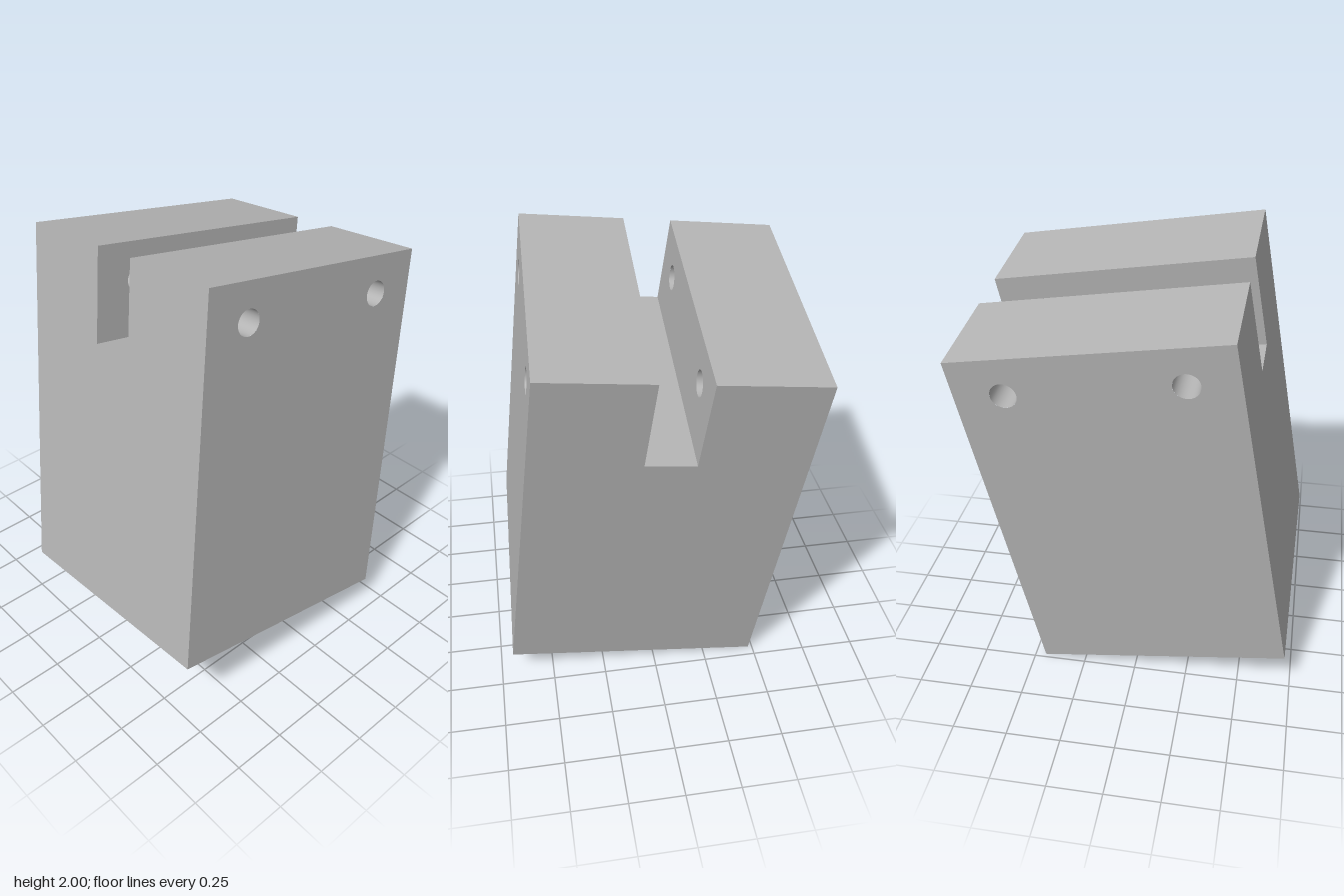
import * as THREE from 'three';

const W = 1.183, H = 1.716, D = 1.178;      // block size
const SLOT_W = 0.221, SLOT_D = 0.429;       // slot across the top
const HOLE_X = 0.376, HOLE_Y = H / 2 + 0.687, HOLE_R = 0.057;

export function createModel() {
  const grey = new THREE.MeshStandardMaterial({ color: 0xb4b4b4 });
  grey.name = 'grey';

  const model = new THREE.Group();
  model.name = 'slottedBlock';
  const block = new THREE.Group();
  block.name = 'tiltedBlock';
  model.add(block);

  const add = (name, geometry) => {
    const mesh = new THREE.Mesh(geometry, grey);
    mesh.name = name;
    block.add(mesh);
    return mesh;
  };

  // Side profile as [z, y, name of the face that starts here]
  const d = D / 2, s = SLOT_W / 2, floor = H - SLOT_D;
  const profile = [
    [d, 0, 'frontFace'], [d, H, 'frontTop'], [s, H, 'slotFrontWall'],
    [s, floor, 'slotFloor'], [-s, floor, 'slotBackWall'], [-s, H, 'backTop'],
    [-d, H, 'backFace'], [-d, 0, 'bottomFace'],
  ];

  // One face per profile edge, upright faces pierced by the two holes
  profile.forEach(([z0, y0, name], i) => {
    const [z1, y1] = profile[(i + 1) % profile.length];
    const len = Math.hypot(z1 - z0, y1 - y0);
    const shape = new THREE.Shape([
      new THREE.Vector2(-W / 2, 0), new THREE.Vector2(W / 2, 0),
      new THREE.Vector2(W / 2, len), new THREE.Vector2(-W / 2, len),
    ]);
    if (z0 === z1) {
      for (const side of [-1, 1]) {
        shape.holes.push(new THREE.Path().absarc(
          side * HOLE_X, Math.abs(HOLE_Y - y0), HOLE_R, 0, Math.PI * 2, true));
      }
    }
    const across = new THREE.Vector3(1, 0, 0);
    const along = new THREE.Vector3(0, (y1 - y0) / len, (z1 - z0) / len);
    const normal = across.clone().cross(along);
    const geometry = new THREE.ShapeGeometry(shape, 32);
    geometry.applyMatrix4(new THREE.Matrix4()
      .makeBasis(across, along, normal).setPosition(0, y0, z0));
    add(name, geometry);
  });

  // Side faces with the slot outline
  const outline = new THREE.Shape(profile.map(([z, y]) => new THREE.Vector2(z, y)));
  for (const side of [-1, 1]) {
    const geometry = new THREE.ShapeGeometry(outline);
    geometry.rotateY(side * Math.PI / 2).translate(side * W / 2, 0, 0);
    add(side > 0 ? 'leftSide' : 'rightSide', geometry);
  }

  // Inward-facing bores through both cheeks
  const half = (d - s) / 2;
  for (const side of [-1, 1]) {
    for (const end of [-1, 1]) {
      const bore = new THREE.LatheGeometry(
        [new THREE.Vector2(HOLE_R, half), new THREE.Vector2(HOLE_R, -half)], 32);
      bore.rotateX(Math.PI / 2);
      bore.translate(side * HOLE_X, HOLE_Y, end * (s + half));
      add(end > 0 ? 'frontBore' : 'backBore', bore);
    }
  }

  // Tilt the whole block about its centre
  const x = new THREE.Vector3(1.165, -0.193, 0.038).normalize();
  const up = new THREE.Vector3(0.285, 1.685, -0.172).normalize();
  const z = x.clone().cross(up).normalize();
  const y = z.clone().cross(x);
  block.quaternion.setFromRotationMatrix(new THREE.Matrix4().makeBasis(x, y, z));
  block.position.set(0, 1, 0).addScaledVector(y, -H / 2);
  return model;
}
